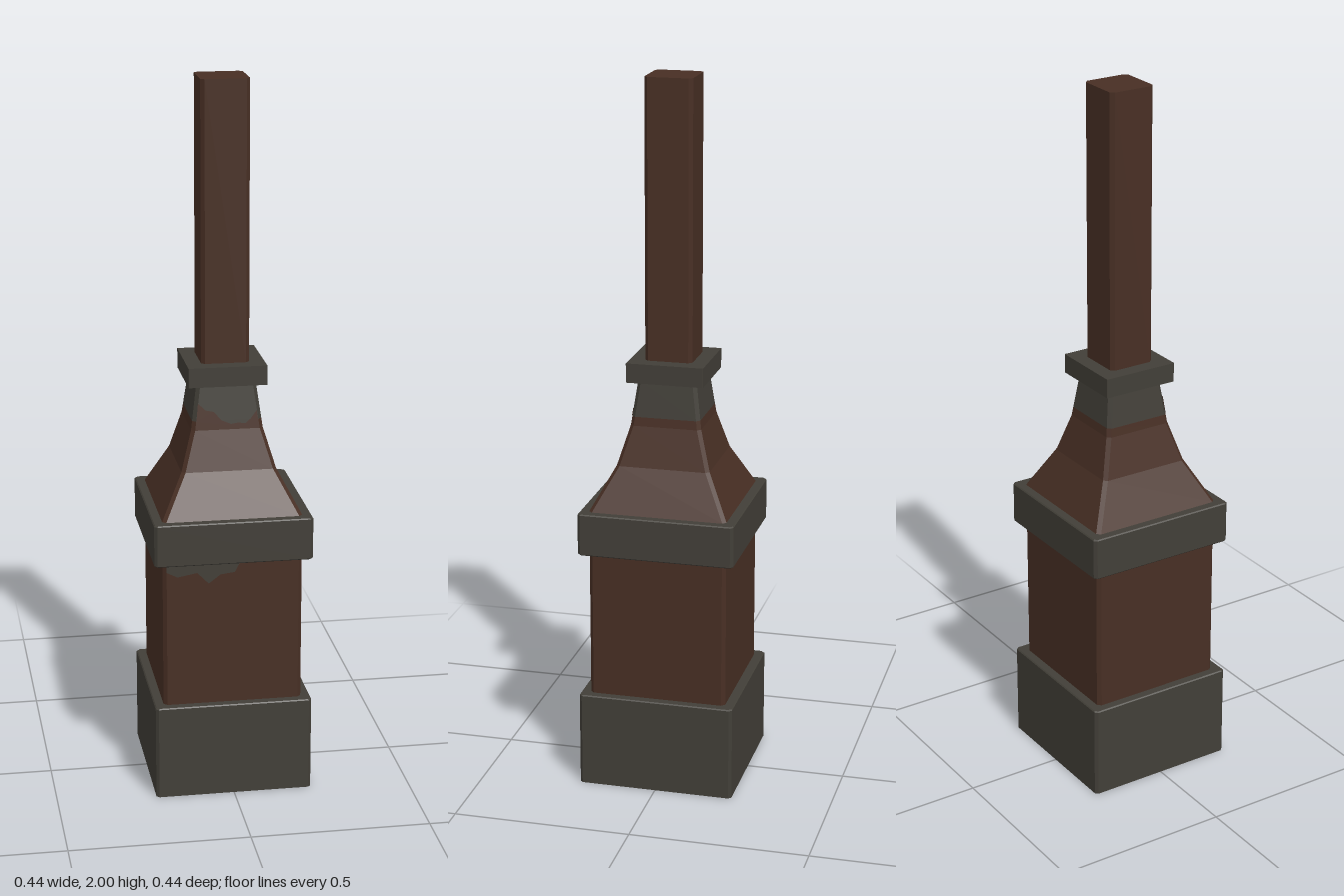
import * as THREE from 'three';

const brick = new THREE.MeshStandardMaterial({ color: 0x482f24, side: THREE.DoubleSide });
brick.name = 'brown brick';
const stone = new THREE.MeshStandardMaterial({ color: 0x423f38, side: THREE.DoubleSide });
stone.name = 'grey stone';

// Square ring with cut corners
function ring(h, y, cut) {
  const k = Math.max(h - cut, 0);
  return [[h, -k], [h, k], [k, h], [-k, h], [-h, k], [-h, -k], [-k, -h], [k, -h]]
    .map(([x, z]) => [x, y, z]);
}

// Faceted shell through square rings; profile = [half width, height]
function shell(name, material, cut, profile) {
  const rings = profile.map(([h, y]) => ring(h, y, cut));
  const pos = [];
  for (let i = 0; i + 1 < rings.length; i++) {
    for (let j = 0; j < 8; j++) {
      const n = (j + 1) % 8;
      const a = rings[i][j], b = rings[i][n], c = rings[i + 1][n], d = rings[i + 1][j];
      pos.push(...a, ...c, ...b, ...a, ...d, ...c);
    }
  }
  const geo = new THREE.BufferGeometry();
  geo.setAttribute('position', new THREE.Float32BufferAttribute(pos, 3));
  geo.computeVertexNormals();
  const mesh = new THREE.Mesh(geo, material);
  mesh.name = name;
  return mesh;
}

// Thin patch laid just in front of the front wall, whose depth follows the height
function patch(name, material, points, depthAt) {
  const geo = new THREE.ShapeGeometry(new THREE.Shape(points.map(p => new THREE.Vector2(...p))));
  const p = geo.attributes.position;
  for (let i = 0; i < p.count; i++) p.setZ(i, depthAt(p.getY(i)) + 0.0015);
  geo.computeVertexNormals();
  const mesh = new THREE.Mesh(geo, material);
  mesh.name = name;
  return mesh;
}

export function createModel() {
  const g = new THREE.Group();
  g.name = 'chimney';
  const neck = y => 0.1 - (y - 1.04) * 0.136;

  g.add(
    // Hollow plinth, open underneath
    shell('plinth', stone, 0.008, [[0.221, 0], [0.221, 0.267], [0.218, 0.27], [0.19, 0.27]]),
    shell('lowerStack', brick, 0.01, [[0.195, 0.27], [0.195, 0.69]]),
    shell('middleBand', stone, 0.008,
      [[0.19, 0.69], [0.218, 0.69], [0.221, 0.693], [0.221, 0.807], [0.218, 0.81], [0.19, 0.81]]),
    // Concave shoulder, brick below and stone above
    shell('shoulder', brick, 0.01, [[0.195, 0.81], [0.132, 0.93], [0.1, 1.04], [neck(1.065), 1.065]]),
    shell('shoulderTop', stone, 0.01, [[neck(1.065), 1.065], [neck(1.165), 1.165]]),
    shell('collar', stone, 0.001, [[0.078, 1.165], [0.109, 1.165], [0.109, 1.22], [0.055, 1.22]]),
    shell('upperStack', brick, 0.01, [[0.067, 1.22], [0.067, 2], [0, 2]]),

    // Ragged edges between brick and stone on the front
    patch('stoneDrip', stone, [[-0.185, 0.69], [-0.185, 0.665], [-0.155, 0.65], [-0.1, 0.66],
      [-0.068, 0.627], [-0.035, 0.652], [0.005, 0.657], [0.02, 0.685], [0.02, 0.69]], () => 0.195),
    patch('brickEdgeLeft', brick, [[-0.086, 1.065], [-0.016, 1.065], [-0.037, 1.09],
      [-0.06, 1.095], [-0.081, 1.115]], neck),
    patch('brickEdgeRight', brick, [[0.063, 1.065], [0.086, 1.065], [0.082, 1.09]], neck),
    patch('stoneEdge', stone, [[-0.016, 1.066], [0.01, 1.055], [0.03, 1.058], [0.05, 1.055], [0.063, 1.066]], neck)
  );
  return g;
}
